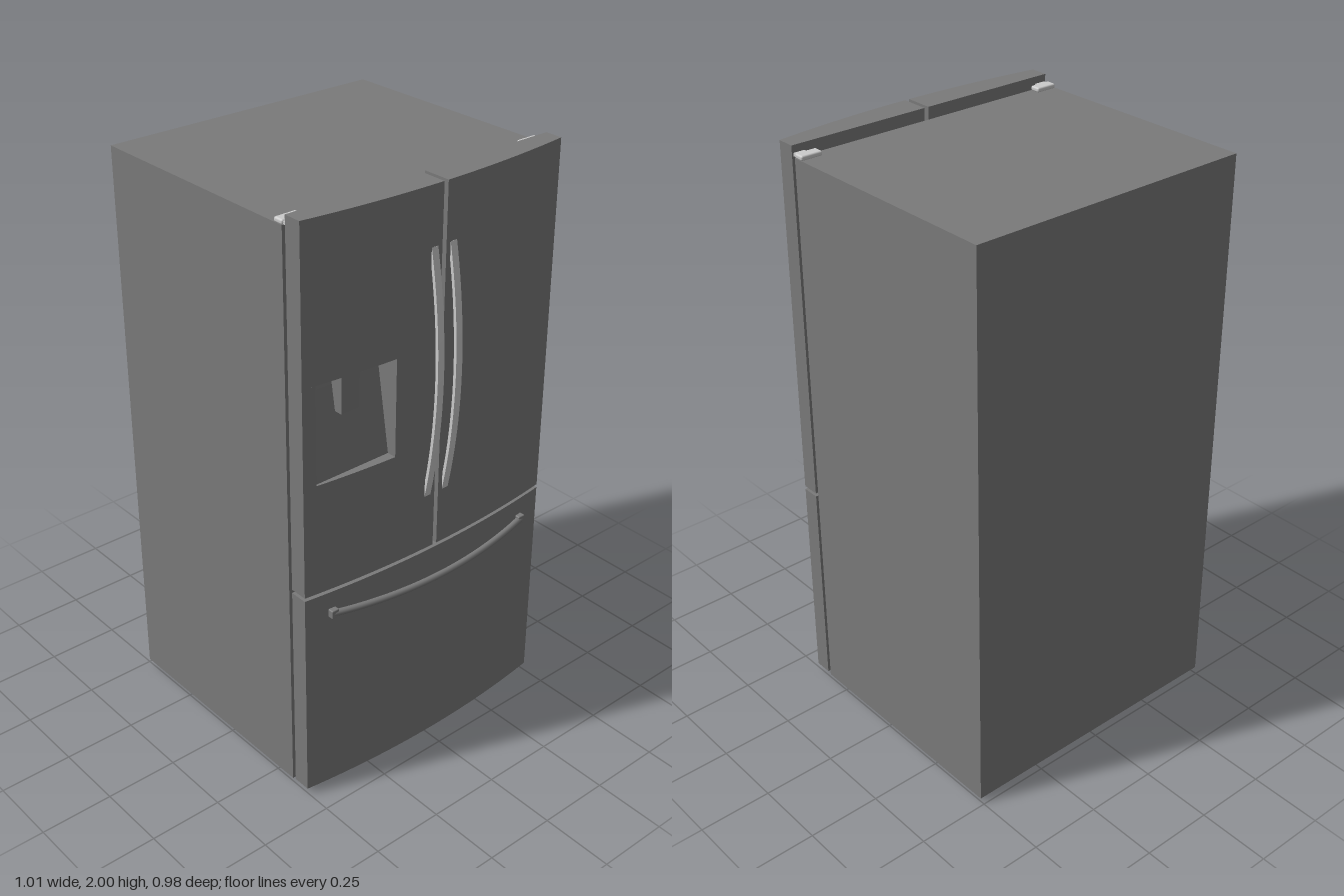
import * as THREE from 'three';
import { toCreasedNormals } from 'three/addons/utils/BufferGeometryUtils.js';
import { RoundedBoxGeometry } from 'three/addons/geometries/RoundedBoxGeometry.js';

const steel = new THREE.MeshStandardMaterial({ color: 0x7a7a7a });
const light = new THREE.MeshStandardMaterial({ color: 0xcccccc });
const MID = -0.003; // x of the gap between the doors

// z of the bowed front at a given x
const bow = (x) => 0.447 - 0.036 * (x / 0.505) ** 2;

function add(parent, name, geometry, material = steel) {
  const mesh = new THREE.Mesh(geometry, material);
  mesh.name = name;
  parent.add(mesh);
  return mesh;
}

// Axis-aligned box from its limits, optionally with rounded edges
function box(x0, x1, y0, y1, z0, z1, radius = 0) {
  const size = [x1 - x0, y1 - y0, z1 - z0];
  const g = radius ? new RoundedBoxGeometry(...size, 3, radius) : new THREE.BoxGeometry(...size);
  return g.translate((x0 + x1) / 2, (y0 + y1) / 2, (z0 + z1) / 2);
}

// Piece of door with a flat back and a bowed front
function slab(x0, x1, y0, y1, back = 0.35) {
  const shape = new THREE.Shape();
  const n = Math.max(2, Math.ceil((x1 - x0) * 24));
  shape.moveTo(x1, -back);
  shape.lineTo(x0, -back);
  for (let i = 0; i <= n; i++) {
    const x = x0 + ((x1 - x0) * i) / n;
    shape.lineTo(x, -bow(x));
  }
  const g = new THREE.ExtrudeGeometry(shape, { depth: y1 - y0, bevelEnabled: false });
  g.rotateX(-Math.PI / 2).translate(0, y0, 0);
  return toCreasedNormals(g, 0.4);
}

// Side profile of [z, y] points, extruded from x0 to x1
function sideProfile(points, x0, x1) {
  const shape = new THREE.Shape(points.map(([z, y]) => new THREE.Vector2(z, y)));
  const g = new THREE.ExtrudeGeometry(shape, { depth: x1 - x0, bevelEnabled: false });
  g.rotateY(-Math.PI / 2).translate(x1, 0, 0);
  return toCreasedNormals(g, 0.5);
}

// Thin bow-shaped door handle
function doorHandle(x) {
  const outer = [], inner = [], n = 24;
  for (let i = 0; i <= n; i++) {
    const t = (i / n) * 2 - 1;
    const y = 1.393 + 0.417 * t;
    const rise = 0.042 * (1 - t * t);
    outer.push([0.447 + rise, y]);
    inner.push([0.436 + rise, y]);
  }
  return sideProfile([...outer, ...inner.reverse()], x - 0.0125, x + 0.0125);
}

export function createModel() {
  const model = new THREE.Group();
  model.name = 'refrigerator';

  // Cabinet and recessed base
  add(model, 'cabinet', box(-0.505, 0.505, 0.02, 1.965, -0.49, 0.336));
  add(model, 'base', box(-0.44, 0.44, 0, 0.03, -0.455, 0.31));

  // Door and drawer seals
  add(model, 'leftSeal', box(0.015, 0.485, 0.83, 1.91, 0.335, 0.351));
  add(model, 'rightSeal', box(-0.485, -0.035, 0.83, 1.91, 0.335, 0.351));
  add(model, 'drawerSeal', box(-0.485, 0.485, 0.04, 0.745, 0.335, 0.351));
  add(model, 'mullion', box(-0.033, 0.022, 0.83, 1.91, 0.335, 0.352));
  for (const [y0, y1] of [[0.83, 0.87], [0.88, 0.95]]) {
    add(model, 'mullionClip', box(MID - 0.007, MID + 0.007, y0, y1, 0.35, 0.358), light);
  }

  // Plain door
  add(model, 'leftDoor', slab(MID + 0.008, 0.505, 0.782, 2));

  // Dispenser door, in pieces around the opening
  const door = new THREE.Group();
  door.name = 'rightDoor';
  model.add(door);
  const [l, r, b, t] = [-0.46, -0.175, 1.155, 1.495];
  const inner = MID - 0.008;
  add(door, 'doorTop', slab(-0.505, inner, t, 2));
  add(door, 'doorBottom', slab(-0.505, inner, 0.782, b));
  add(door, 'doorOuterStile', slab(-0.505, l, b, t));
  add(door, 'doorInnerStile', slab(r, inner, b, t));

  // Sloping dispenser recess, drip ledge and spout
  add(door, 'dispenserBack',
    sideProfile([[0.35, b], [0.41, b], [0.41, b + 0.01], [0.354, t], [0.35, t]], l, r));
  add(door, 'dripLedge', slab(l, r, b, b + 0.01));
  add(door, 'spout', box(-0.355, -0.285, 1.36, t, 0.352, 0.405));

  // Freezer drawer
  add(model, 'drawer', slab(-0.505, 0.505, 0.025, 0.77));

  // Upright door handles
  for (const s of [-1, 1]) add(model, 'doorHandle', doorHandle(MID + s * 0.037), light);

  // Bowed drawer handle with its end mounts
  const path = [];
  for (let i = -6; i <= 6; i++) {
    const u = i / 6;
    path.push(new THREE.Vector3(0.415 * u, 0.678 + 0.017 * u * u, 0.477 - 0.046 * u * u));
  }
  add(model, 'drawerHandle',
    new THREE.TubeGeometry(new THREE.CatmullRomCurve3(path), 40, 0.011, 12));
  for (const s of [-1, 1]) {
    const mount = add(model, 'handleMount', box(-0.014, 0.014, -0.015, 0.015, -0.02, 0.012, 0.004));
    mount.position.set(s * 0.408, 0.695, 0.43);
  }

  // Top hinges with their pivot plates
  for (const s of [-1, 1]) {
    const hinge = new THREE.Group();
    hinge.name = 'hinge';
    model.add(hinge);
    const cover = add(hinge, 'hingeCover', box(-0.038, 0.038, 0, 0.016, 0.3, 0.337, 0.006), light);
    cover.position.set(s * 0.467, 1.964, 0);
    const plate = add(hinge, 'hingePlate', box(-0.02, 0.02, 0, 0.01, 0.33, 0.352), light);
    plate.position.set(s * 0.48, 1.966, 0);
  }
  return model;
}
